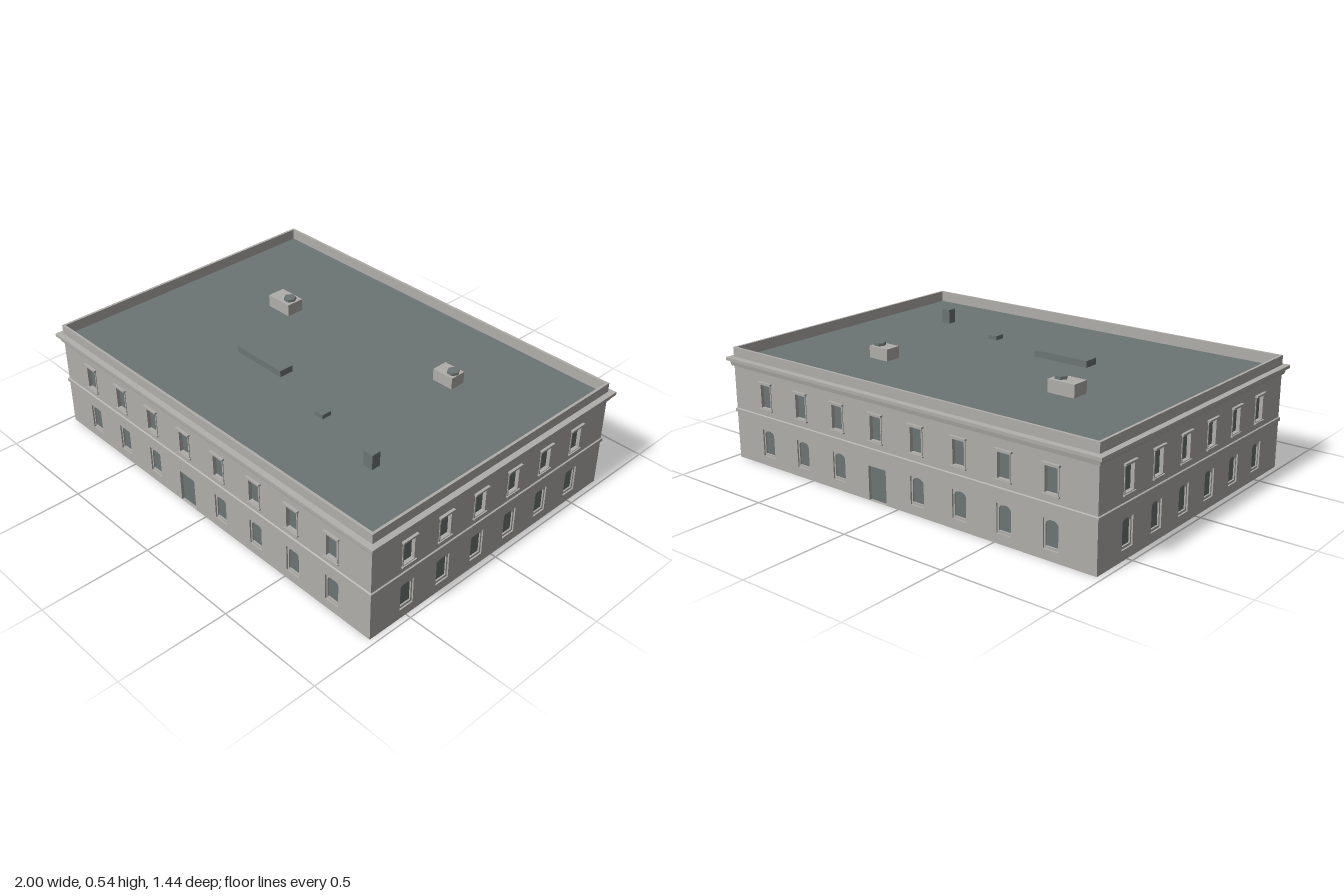
import * as THREE from 'three';

const W = 0.975, D = 0.695, WALL_TOP = 0.43, ROOF = 0.465, DEPTH = 0.015;

const stone = new THREE.MeshStandardMaterial({ color: 0xb0aeaa, side: THREE.DoubleSide });
stone.name = 'stone';
const slate = new THREE.MeshStandardMaterial({ color: 0x6c7574, side: THREE.DoubleSide });
slate.name = 'slate';

function add(parent, name, geometry, material, x = 0, y = 0, z = 0) {
  const mesh = new THREE.Mesh(geometry, material);
  mesh.name = name;
  mesh.position.set(x, y, z);
  parent.add(mesh);
  return mesh;
}

const box = (w, h, d) => new THREE.BoxGeometry(w, h, d);
const extrude = (shape, depth) =>
  new THREE.ExtrudeGeometry(shape, { depth, bevelEnabled: false, curveSegments: 6 });

// Outline of a rectangle or, with rise, one with a curved head
function outline(Type, cx, y0, w, h, rise = 0) {
  const s = new Type(), l = cx - w / 2, r = cx + w / 2, top = y0 + h;
  s.moveTo(l, y0);
  s.lineTo(r, y0);
  s.lineTo(r, top - rise);
  if (rise) s.absellipse(cx, top - rise, w / 2, rise, 0, Math.PI, false);
  else s.lineTo(l, top);
  s.closePath();
  return s;
}

// Sweeps a profile of [outset, height] points round the rectangular plan
function ring(profile) {
  const corners = [[1, 1], [1, -1], [-1, -1], [-1, 1]];
  const at = ([sx, sz], [o, y]) => [sx * (W + o), y, sz * (D + o)];
  const pos = [];
  for (let i = 0; i < profile.length - 1; i++) {
    for (let k = 0; k < 4; k++) {
      const c = corners[k], n = corners[(k + 1) % 4];
      const a = at(c, profile[i]), b = at(n, profile[i]);
      const d = at(n, profile[i + 1]), e = at(c, profile[i + 1]);
      pos.push(...a, ...b, ...d, ...a, ...d, ...e);
    }
  }
  const g = new THREE.BufferGeometry();
  g.setAttribute('position', new THREE.Float32BufferAttribute(pos, 3));
  g.computeVertexNormals();
  return g;
}

// Upper window: flat architrave, hood on top and sill below
function upperWindow(side, x) {
  const frame = outline(THREE.Shape, x, 0.266, 0.07, 0.114);
  frame.holes.push(outline(THREE.Path, x, 0.27, 0.058, 0.105));
  add(side, 'upperFrame', extrude(frame, 0.003), stone);
  add(side, 'upperGlass', new THREE.ShapeGeometry(outline(THREE.Shape, x, 0.268, 0.06, 0.109)),
    slate, 0, 0, -DEPTH + 0.001);
  add(side, 'windowHood', box(0.082, 0.008, 0.012), stone, x, 0.386, 0.006);
  add(side, 'windowSill', box(0.078, 0.006, 0.009), stone, x, 0.264, 0.0045);
}

// Lower window: recessed panel with an arched pane
function lowerWindow(side, x) {
  const panel = outline(THREE.Shape, x, 0.043, 0.072, 0.124);
  panel.holes.push(outline(THREE.Path, x, 0.053, 0.058, 0.109, 0.02));
  add(side, 'lowerFrame', extrude(panel, 0.008), stone, 0, 0, -DEPTH);
  add(side, 'lowerGlass', new THREE.ShapeGeometry(outline(THREE.Shape, x, 0.045, 0.07, 0.12)),
    slate, 0, 0, -DEPTH + 0.001);
}

// One facade, built facing +z with its outer face on z = 0
function facade(name, halfWidth, xs, doorIndex = -1) {
  const side = new THREE.Group();
  side.name = name;
  const wall = outline(THREE.Shape, 0, 0, halfWidth * 2, WALL_TOP);
  xs.forEach((x, i) => {
    wall.holes.push(outline(THREE.Path, x, 0.27, 0.058, 0.105));
    upperWindow(side, x);
    if (i === doorIndex) {
      wall.holes.push(outline(THREE.Path, x, 0.001, 0.098, 0.153));
      add(side, 'door', new THREE.ShapeGeometry(outline(THREE.Shape, x, 0, 0.1, 0.156)),
        slate, 0, 0, -DEPTH + 0.001);
    } else {
      wall.holes.push(outline(THREE.Path, x, 0.043, 0.072, 0.124));
      lowerWindow(side, x);
    }
  });
  add(side, 'wall', extrude(wall, DEPTH), stone, 0, 0, -DEPTH);
  return side;
}

export function createModel() {
  const model = new THREE.Group();
  model.name = 'building';

  // Facades
  const longXs = Array.from({ length: 8 }, (_, i) => -0.775 + i * 0.2205);
  const shortXs = Array.from({ length: 6 }, (_, i) => -0.5 + i * 0.2);
  const front = facade('frontFacade', W, longXs, 3);
  front.position.z = D;
  const back = facade('backFacade', W, longXs, 3);
  back.position.z = -D;
  back.rotation.y = Math.PI;
  const left = facade('leftFacade', D, shortXs);
  left.position.x = W;
  left.rotation.y = Math.PI / 2;
  const right = facade('rightFacade', D, shortXs);
  right.position.x = -W;
  right.rotation.y = -Math.PI / 2;
  model.add(front, back, left, right);

  // Storey band, then cornice and parapet
  add(model, 'storeyBand', ring([[0, 0.215], [0.006, 0.217], [0.006, 0.232], [0, 0.235]]), stone);
  add(model, 'corniceAndParapet', ring([
    [0, 0.428], [0.009, 0.432], [0.013, 0.453], [0.025, 0.456], [0.025, 0.47],
    [0, 0.472], [0, 0.515], [-0.012, 0.515], [-0.012, ROOF],
  ]), stone);

  // Roof deck
  const deck = add(model, 'roofDeck', new THREE.PlaneGeometry(2 * W - 0.024, 2 * D - 0.024), slate, 0, ROOF, 0);
  deck.rotation.x = -Math.PI / 2;

  // Roof housings with six-sided vents
  for (const [x, z, w, d, top, vx, r] of [
    [-0.469, -0.188, 0.132, 0.086, 0.522, -0.438, 0.029],
    [0.458, -0.278, 0.105, 0.076, 0.519, 0.483, 0.027],
  ]) {
    add(model, 'roofHousing', box(w, top - ROOF, d), stone, x, (top + ROOF) / 2, z);
    const vent = new THREE.CylinderGeometry(r, r, 0.013, 6).rotateY(Math.PI / 2).toNonIndexed();
    vent.computeVertexNormals();
    add(model, 'roofVent', vent, slate, vx, top + 0.0065, z);
  }

  // Skylight, hatch and chimney
  for (const [name, x, z, w, d, h] of [
    ['skylight', -0.19, 0.183, 0.28, 0.07, 0.03],
    ['roofHatch', 0.274, 0.275, 0.047, 0.047, 0.02],
    ['chimney', 0.646, 0.368, 0.047, 0.043, 0.068],
  ]) add(model, name, box(w, h, d), slate, x, ROOF + h / 2, z);

  return model;
}
